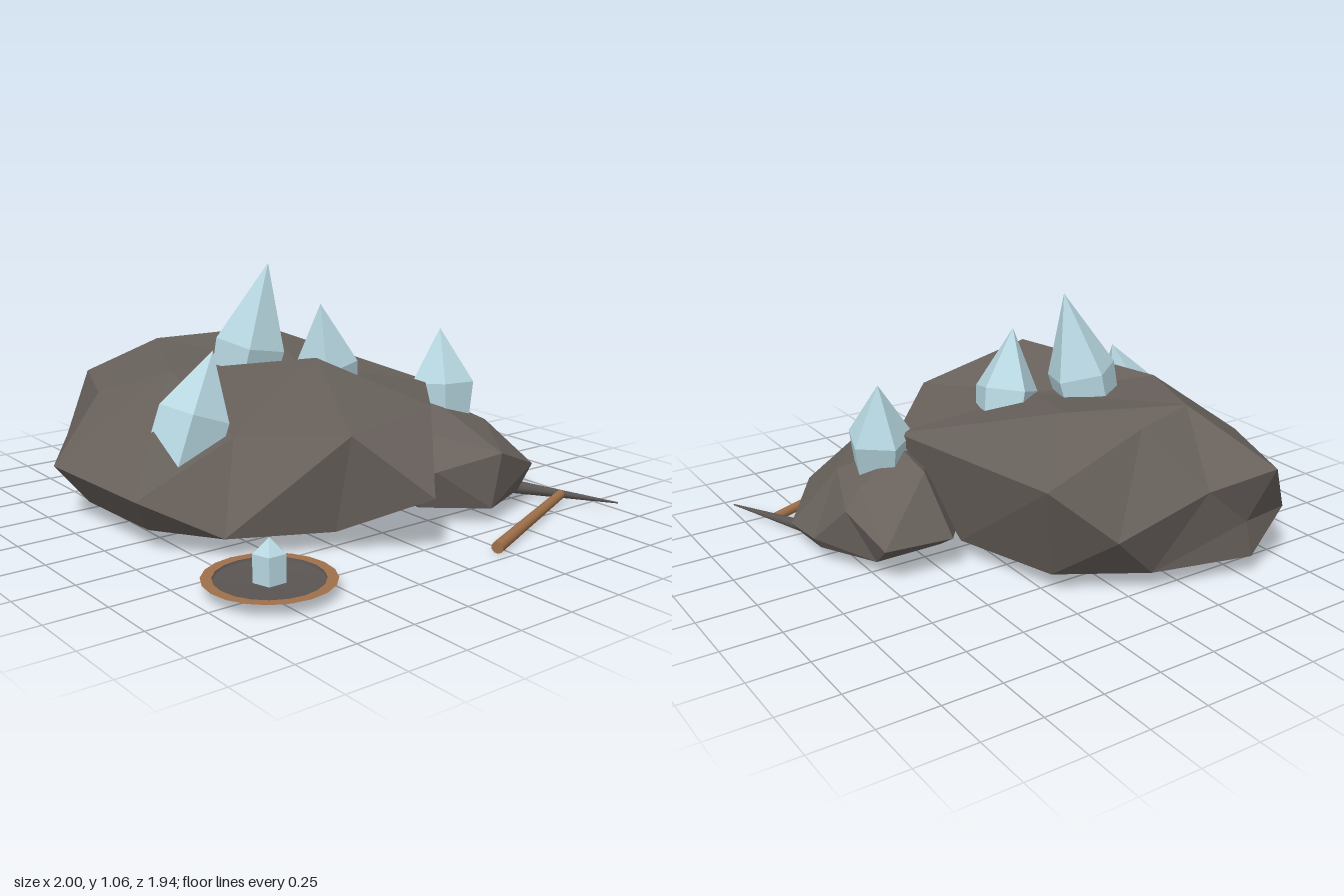
import * as THREE from 'three';
import { ConvexGeometry } from 'three/addons/geometries/ConvexGeometry.js';

const material = (name, color, extra = {}) =>
  Object.assign(new THREE.MeshStandardMaterial({ color, ...extra }), { name });

// Faceted rock: corners are joined by the hull of their directions from the
// centre, then pushed back out, which allows dents as well as bulges.
function rockGeometry(center, corners) {
  const c = new THREE.Vector3(...center);
  const points = corners.map((p) => new THREE.Vector3(...p));
  const dirs = points.map((p) => p.clone().sub(c).normalize());
  const geometry = new ConvexGeometry(dirs);
  const pos = geometry.attributes.position;
  const v = new THREE.Vector3();
  for (let i = 0; i < pos.count; i++) {
    v.fromBufferAttribute(pos, i);
    let best = 0;
    dirs.forEach((d, k) => {
      if (d.distanceToSquared(v) < dirs[best].distanceToSquared(v)) best = k;
    });
    pos.setXYZ(i, points[best].x, points[best].y, points[best].z);
  }
  geometry.computeVertexNormals();
  return geometry;
}

// Turn a mesh whose base is at its origin so its axis runs from a to b
function aim(mesh, a, b) {
  const dir = new THREE.Vector3(...b).sub(new THREE.Vector3(...a)).normalize();
  mesh.position.set(...a);
  mesh.quaternion.setFromUnitVectors(new THREE.Vector3(0, 1, 0), dir);
  return mesh;
}

const distance = (a, b) => new THREE.Vector3(...a).distanceTo(new THREE.Vector3(...b));

export function createModel() {
  const model = new THREE.Group();
  model.name = 'crystalMine';
  const stone = material('stone', 0x67605b, { flatShading: true });
  const crystalBlue = material('crystalBlue', 0xb7d7e1, { flatShading: true });
  const wood = material('wood', 0x9f7049, { side: THREE.DoubleSide });
  const metal = material('metal', 0x5a5552, { side: THREE.DoubleSide });

  const add = (name, geometry, mat, parent = model) => {
    const mesh = new THREE.Mesh(geometry, mat);
    mesh.name = name;
    parent.add(mesh);
    return mesh;
  };
  const ground = (y, list) => list.map(([x, z]) => [x, y, z]);

  // Large boulder
  add('largeRock', rockGeometry([-0.25, 0.3, -0.1], [
    // crown, dipping in the middle where the crystals grow
    [-0.25, 0.745, 0.38], [0.1, 0.71, -0.45], [-0.39, 0.69, -0.6], [-0.6, 0.65, -0.14], [-0.14, 0.65, -0.63],
    [-0.06, 0.625, 0.02],
    // flanks
    [-0.52, 0.43, 0.2], [-0.28, 0.49, 0.64], [-0.04, 0.25, 0.85], [0.14, 0.54, 0.62], [0.18, 0.27, 0.4],
    [0.52, 0.515, 0.17], [0.36, 0.52, -0.7], [0.12, 0.3, -0.83], [-0.3, 0.42, -0.86], [-0.5, 0.25, -0.87],
    [-0.55, 0.5, -0.97], [-0.73, 0.25, -0.84], [-0.72, 0.5, -0.54], [-1, 0.25, -0.42], [-0.97, 0.25, 0.2],
    // flat underside
    ...ground(0.09, [[-0.88, -0.35], [-0.86, 0.1], [-0.68, 0.37], [-0.29, 0.56], [0.03, 0.52], [0.22, 0.3],
      [0.38, -0.1], [0.24, -0.56], [-0.1, -0.77], [-0.53, -0.88], [-0.7, -0.72]]),
  ]), stone);

  // Small boulder
  add('smallRock', rockGeometry([0.52, 0.22, 0.25], [
    [0.52, 0.46, 0.16], [0.29, 0.36, 0.36], [0.72, 0.34, 0.35], [0.5, 0.4, -0.02], [0.74, 0.34, 0.1],
    [0.46, 0.31, 0.71], [0.73, 0.2, 0.63], [0.22, 0.24, 0.58], [0.1, 0.17, 0.47],
    [0.47, 0.16, -0.19], [0.77, 0.17, -0.17], [0.83, 0.28, 0.05], [0.91, 0.12, 0.2], [0.91, 0.1, 0.43],
    ...ground(0.073, [[0.2, 0.5], [0.43, 0.69], [0.7, 0.58], [0.89, 0.41], [0.88, 0.2], [0.75, -0.05],
      [0.45, -0.05], [0.2, 0.2]]),
  ]), stone);

  // Five-sided crystals: base, tip, radius, shoulder height, base width
  const crystals = [
    ['leftCrystal', [-0.71, 0.24, 0.06], [-0.52, 0.755, 0.06], 0.15, 0.53, 1],
    ['tallCrystal', [-0.265, 0.53, -0.125], [-0.168, 1.065, -0.055], 0.152, 0.37, 0.9],
    ['middleCrystal', [0.08, 0.5, 0.04], [-0.02, 0.9, 0.11], 0.14, 0.38, 0.9],
    ['rightCrystal', [0.575, 0.31, 0.23], [0.6, 0.74, 0.175], 0.143, 0.45, 0.8],
    ['panCrystal', [-0.72, 0.045, 0.72], [-0.72, 0.21, 0.72], 0.064, 0.66, 1],
  ];
  for (const [name, base, tip, r, shoulder, foot] of crystals) {
    const h = distance(base, tip);
    const profile = [[0, 0], [r * foot, 0], [r, h * shoulder], [0, h]].map((p) => new THREE.Vector2(...p));
    const geometry = new THREE.LatheGeometry(profile, 5).rotateY(Math.PI);
    aim(add(name, geometry, crystalBlue), base, tip);
  }

  // Shallow pan with a flat wooden rim
  const pan = new THREE.Group();
  pan.name = 'pan';
  pan.position.set(-0.72, 0, 0.72);
  model.add(pan);
  const bowl = [[0, 0.042], [0.207, 0.043], [0.21, 0.058]].map((p) => new THREE.Vector2(...p));
  add('panBowl', new THREE.LatheGeometry(bowl, 20), metal, pan);
  add('panRim', new THREE.RingGeometry(0.208, 0.25, 20).rotateX(-Math.PI / 2), wood, pan).position.y = 0.058;

  // Pickaxe lying on the ground
  const pickaxe = new THREE.Group();
  pickaxe.name = 'pickaxe';
  model.add(pickaxe);
  const rod = (name, a, b, rA, rB, mat) => {
    const h = distance(a, b);
    aim(add(name, new THREE.CylinderGeometry(rB, rA, h, 10).translate(0, h / 2, 0), mat, pickaxe), a, b);
  };
  rod('pickaxeHandle', [0.2, 0.031, 0.95], [0.89, 0.037, 0.66], 0.025, 0.02, wood);
  rod('pickaxeHead', [0.79, 0.037, 0.42], [0.995, 0.037, 0.89], 0.032, 0.003, metal);

  return model;
}
